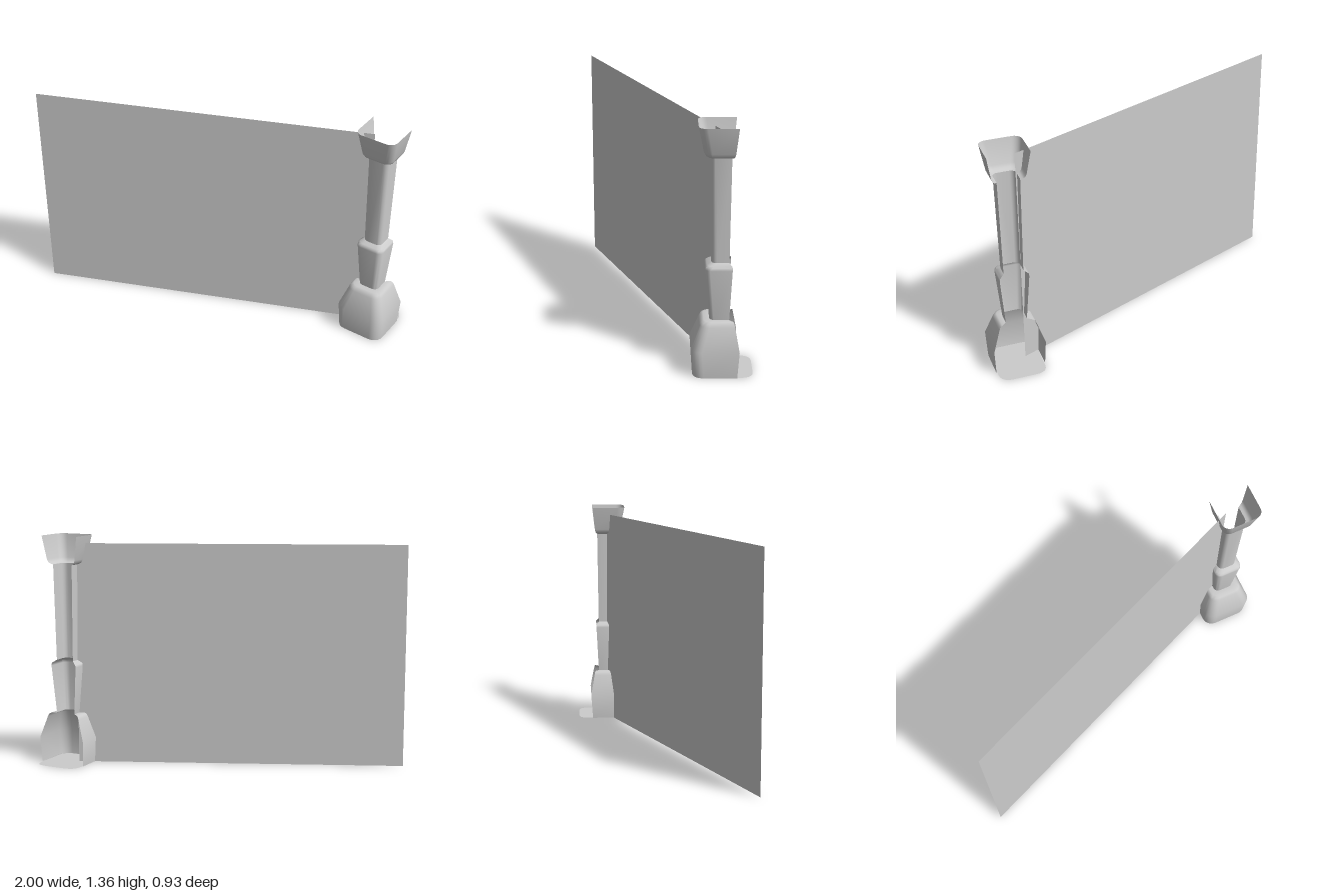
import * as THREE from 'three';
import { mergeVertices, toCreasedNormals } from 'three/addons/utils/BufferGeometryUtils.js';

const CX = 0.845; // column centre line
const material = new THREE.MeshStandardMaterial({ color: 0xcccccc, side: THREE.DoubleSide });

// U-shaped outline, open to the back, with rounded front corners
function uSection(y, half, front, back, r) {
  const pts = [[CX - half, y, back]];
  const steps = 6;
  for (const side of [-1, 1]) {
    for (let i = 0; i <= steps; i++) {
      const t = (side < 0 ? i : steps - i) / steps * Math.PI / 2;
      pts.push([CX + side * (half - r + r * Math.cos(t)), y, front - r + r * Math.sin(t)]);
    }
  }
  pts.push([CX + half, y, back]);
  return pts;
}

// Skin between successive outlines
function loft(rings) {
  const sections = rings.map((r) => uSection(...r));
  const n = sections[0].length;
  const index = [];
  for (let j = 0; j < sections.length - 1; j++) {
    for (let i = 0; i < n - 1; i++) {
      const a = j * n + i, b = a + 1, c = a + n, d = c + 1;
      index.push(a, b, d, a, d, c);
    }
  }
  const g = new THREE.BufferGeometry();
  g.setAttribute('position', new THREE.Float32BufferAttribute(sections.flat(2), 3));
  g.setIndex(index);
  return toCreasedNormals(mergeVertices(g), 0.85);
}

export function createModel() {
  const group = new THREE.Group();
  const add = (name, geometry) => {
    const mesh = new THREE.Mesh(geometry, material);
    mesh.name = name;
    group.add(mesh);
    return mesh;
  };

  // Column shells, each ring: y, half width, front z, back z, corner radius
  add('columnBase', loft([
    [0, 0.143, -0.14, -0.378, 0.06],
    [0.15, 0.15, -0.13, -0.388, 0.06],
    [0.275, 0.108, -0.178, -0.365, 0.05],
    [0.293, 0.1, -0.187, -0.361, 0.045],
    [0.3, 0.088, -0.2, -0.357, 0.04],
    [0.3, 0.061, -0.23, -0.335, 0.03],
  ]));
  add('lowerSleeve', loft([
    [0.3, 0.061, -0.23, -0.335, 0.03],
    [0.585, 0.084, -0.205, -0.348, 0.035],
    [0.6, 0.082, -0.207, -0.348, 0.035],
    [0.607, 0.075, -0.215, -0.346, 0.033],
    [0.62, 0.056, -0.238, -0.332, 0.03],
  ]));
  add('shaft', loft([
    [0.62, 0.056, -0.238, -0.332, 0.03],
    [1.19, 0.064, -0.228, -0.337, 0.03],
  ]));
  add('topCollar', loft([
    [1.19, 0.064, -0.228, -0.337, 0.03],
    [1.195, 0.078, -0.213, -0.345, 0.035],
    [1.203, 0.088, -0.203, -0.35, 0.04],
    [1.22, 0.095, -0.193, -0.354, 0.042],
    [1.36, 0.119, -0.165, -0.369, 0.045],
  ]));

  // Flat rounded plate under the base, reaching out behind it
  const h = 0.137, z0 = 0.142, z1 = 0.465, r = 0.07;
  const plate = new THREE.Shape();
  plate.moveTo(-h + r, z0);
  plate.lineTo(h - r, z0);
  plate.quadraticCurveTo(h, z0, h, z0 + r);
  plate.lineTo(h, z1 - r);
  plate.quadraticCurveTo(h, z1, h - r, z1);
  plate.lineTo(-h + r, z1);
  plate.quadraticCurveTo(-h, z1, -h, z1 - r);
  plate.lineTo(-h, z0 + r);
  plate.quadraticCurveTo(-h, z0, -h + r, z0);
  const floor = add('basePlate', new THREE.ShapeGeometry(plate, 8));
  floor.rotation.x = -Math.PI / 2;
  floor.position.x = CX;

  // Thin wall panel running diagonally from the far corner into the column
  const ax = -1, az = 0.465, bx = 0.79, bz = -0.28, height = 1.315;
  const panel = add('wallPanel', new THREE.PlaneGeometry(Math.hypot(bx - ax, bz - az), height));
  panel.position.set((ax + bx) / 2, height / 2, (az + bz) / 2);
  panel.rotation.y = Math.atan2(az - bz, bx - ax);

  return group;
}
